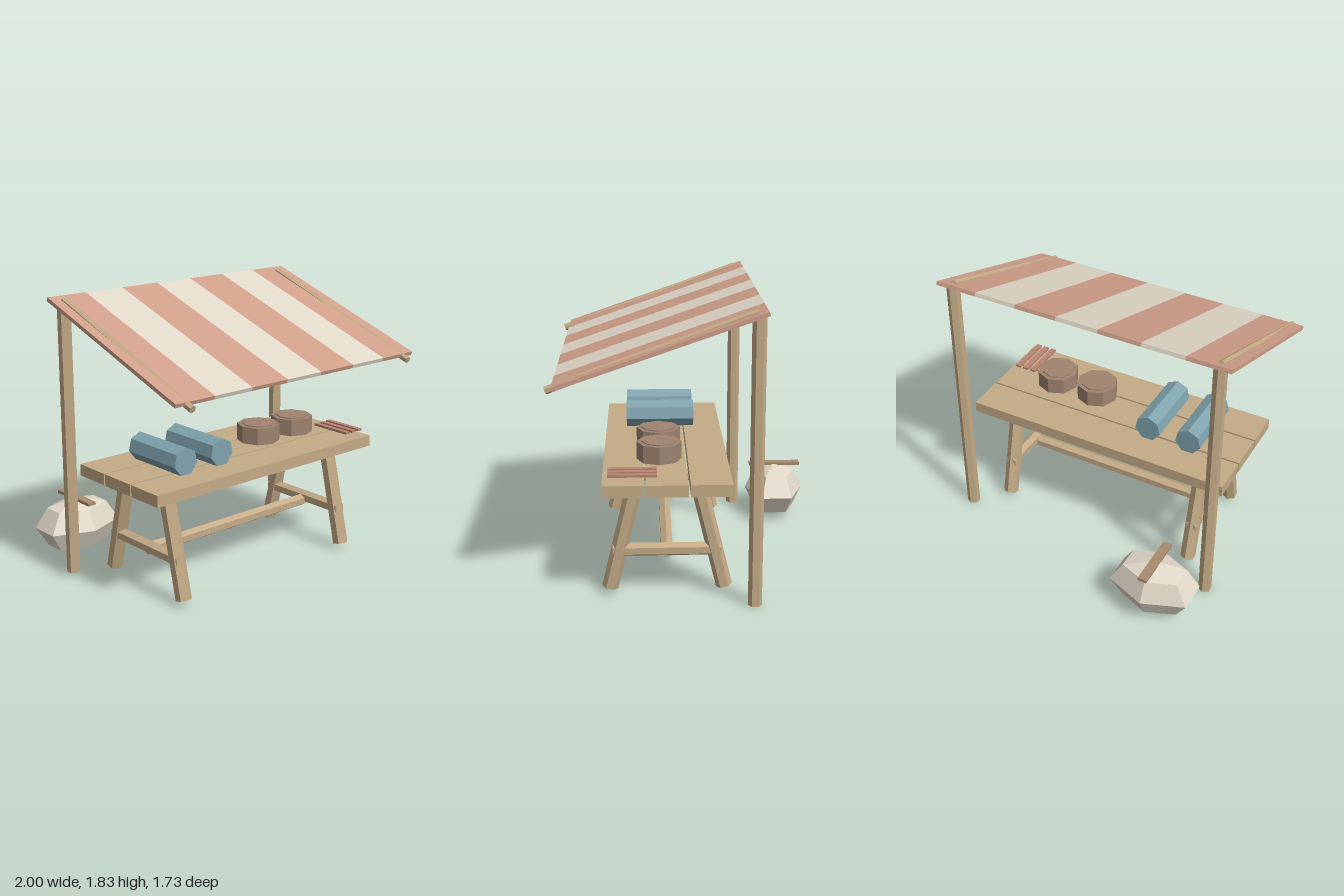
import * as THREE from 'three';

const material = (color) => new THREE.MeshStandardMaterial({ color, flatShading: true });

export function createModel() {
  const model = new THREE.Group();
  const wood = material(0xc4ab86);
  const red = material(0xcf9f89);
  const cream = material(0xe0d8c8);
  const blue = material(0x7fa3ae);
  const brown = material(0x9f8470);
  const darkWood = material(0xa98b6f);
  const rust = material(0xb98573);

  function add(name, geometry, mat, x = 0, y = 0, z = 0, parent = model) {
    const mesh = new THREE.Mesh(geometry, mat);
    mesh.name = name;
    mesh.position.set(x, y, z);
    parent.add(mesh);
    return mesh;
  }

  // Faceted pole running from point a to point b
  function beam(name, a, b, radius, mat = wood, sides = 6, spin = 0) {
    const from = new THREE.Vector3(...a);
    const to = new THREE.Vector3(...b);
    const geometry = new THREE.CylinderGeometry(radius, radius, from.distanceTo(to), sides);
    geometry.rotateY(spin);
    const mesh = add(name, geometry, mat);
    mesh.position.copy(from).lerp(to, 0.5);
    mesh.quaternion.setFromUnitVectors(new THREE.Vector3(0, 1, 0), to.sub(from).normalize());
    return mesh;
  }

  // Striped, sloping awning
  const awning = new THREE.Group();
  awning.name = 'awning';
  awning.position.set(0, 1.6, 0.197);
  awning.rotation.x = THREE.MathUtils.degToRad(19);
  model.add(awning);
  const stripe = 2 / 7;
  for (let i = 0; i < 7; i++) {
    add('awningStripe', new THREE.BoxGeometry(stripe, 0.025, 1.308), i % 2 ? cream : red,
      (i - 3) * stripe, 0, 0, awning);
  }

  // Table top planks
  const tableZ = 0.158;
  for (const i of [-1, 0, 1]) {
    add('tablePlank', new THREE.BoxGeometry(1.85, 0.075, 0.252), wood, 0, 0.742, tableZ + i * 0.265);
  }

  for (const s of [-1, 1]) {
    // Awning posts and rafters
    beam('post', [s * 0.912, 0, -0.372], [s * 0.912, 1.8, -0.372], 0.043);
    beam('rafter', [s * 0.912, 1.804, -0.368], [s * 0.912, 1.362, 0.857], 0.024);

    // Splayed table legs with a cross bar on each side
    for (const d of [-1, 1]) {
      beam('tableLeg', [s * 0.703, 0.042, tableZ + d * 0.355],
        [s * 0.703, 0.697, tableZ + d * 0.198], 0.051);
    }
    beam('crossBar', [s * 0.703, 0.288, tableZ - 0.335], [s * 0.703, 0.288, tableZ + 0.335], 0.043);
  }
  beam('longStretcher', [-0.7, 0.268, tableZ], [0.7, 0.268, tableZ], 0.042, wood, 6, Math.PI / 2);

  // Cloth rolls
  for (const x of [-0.592, -0.302]) {
    beam('clothRoll', [x, 0.881, 0.41], [x, 0.881, -0.045], 0.091, blue, 7);
  }

  // Round boxes with lids
  for (const x of [0.206, 0.515]) {
    add('roundBox', new THREE.CylinderGeometry(0.14, 0.14, 0.112, 8), brown, x, 0.872, 0.2);
    add('roundBoxLid', new THREE.CylinderGeometry(0.11, 0.11, 0.03, 8), brown, x, 0.92, 0.2);
  }

  // Small flat strips
  for (const x of [0.741, 0.8, 0.859]) {
    add('strip', new THREE.BoxGeometry(0.036, 0.015, 0.295), rust, x, 0.823, 0.366);
  }

  // Sack behind the stall, with a stick across its top
  const sackShape = new THREE.SphereGeometry(1, 6, 4);
  sackShape.rotateY(Math.PI / 2);
  sackShape.scale(0.312, 0.19, 0.208);
  add('sack', sackShape, cream, -0.678, 0.198, -0.657);
  add('sackStick', new THREE.BoxGeometry(0.06, 0.02, 0.365), darkWood, -0.678, 0.382, -0.659);

  return model;
}
